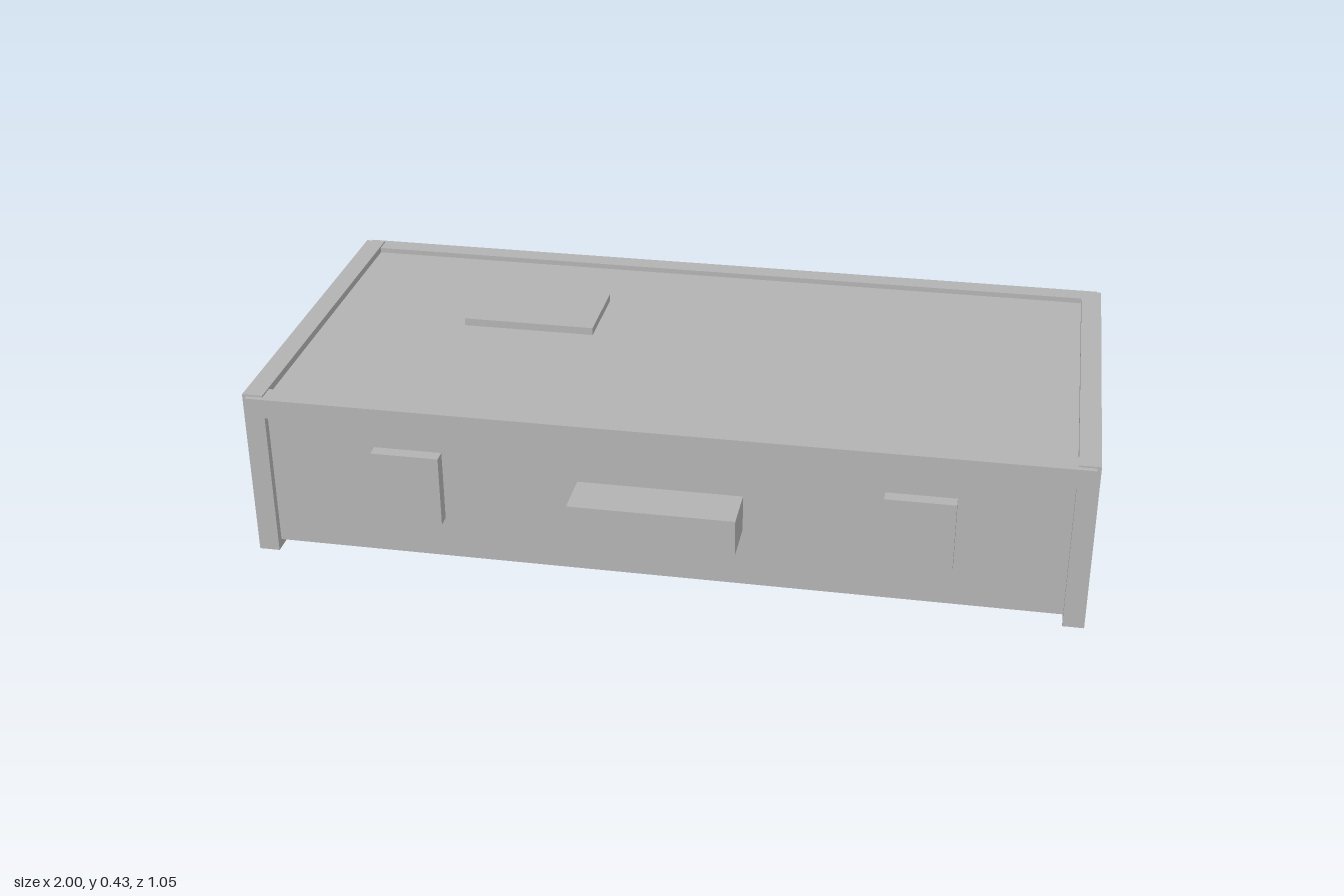
import * as THREE from 'three';

export function createModel() {
  const model = new THREE.Group();
  model.name = 'case';
  const grey = new THREE.MeshStandardMaterial({ color: 0xb2b2b2 });
  grey.name = 'plain grey';

  // Box given by its extents along each axis
  const box = (name, [x0, x1], [y0, y1], [z0, z1]) => {
    const mesh = new THREE.Mesh(new THREE.BoxGeometry(x1 - x0, y1 - y0, z1 - z0), grey);
    mesh.position.set((x0 + x1) / 2, (y0 + y1) / 2, (z0 + z1) / 2);
    mesh.name = name;
    model.add(mesh);
  };

  // Main body, set in slightly from the end panels
  box('body', [-0.95, 0.95], [0.02, 0.41], [-0.492, 0.41]);

  // Mirrored end panels and front latches
  for (const [side, s] of [['left', 1], ['right', -1]]) {
    const span = (a, b) => (s > 0 ? [a, b] : [-b, -a]);
    box(side + 'EndPanel', span(0.95, 1), [0, 0.427], [-0.512, 0.429]);
    box(side + 'Latch', span(0.525, 0.69), [0.125, 0.304], [0.4, 0.442]);
  }

  // Raised rails along the upper edges
  box('frontRail', [-0.99, 0.99], [0.374, 0.423], [0.385, 0.442]);
  box('backRail', [-0.99, 0.99], [0.374, 0.423], [-0.526, -0.475]);

  // Handle and label plate on the lid
  box('handle', [-0.197, 0.197], [0.169, 0.259], [0.4, 0.526]);
  box('lidPlate', [-0.595, -0.262], [0.405, 0.429], [-0.275, -0.065]);

  return model;
}
